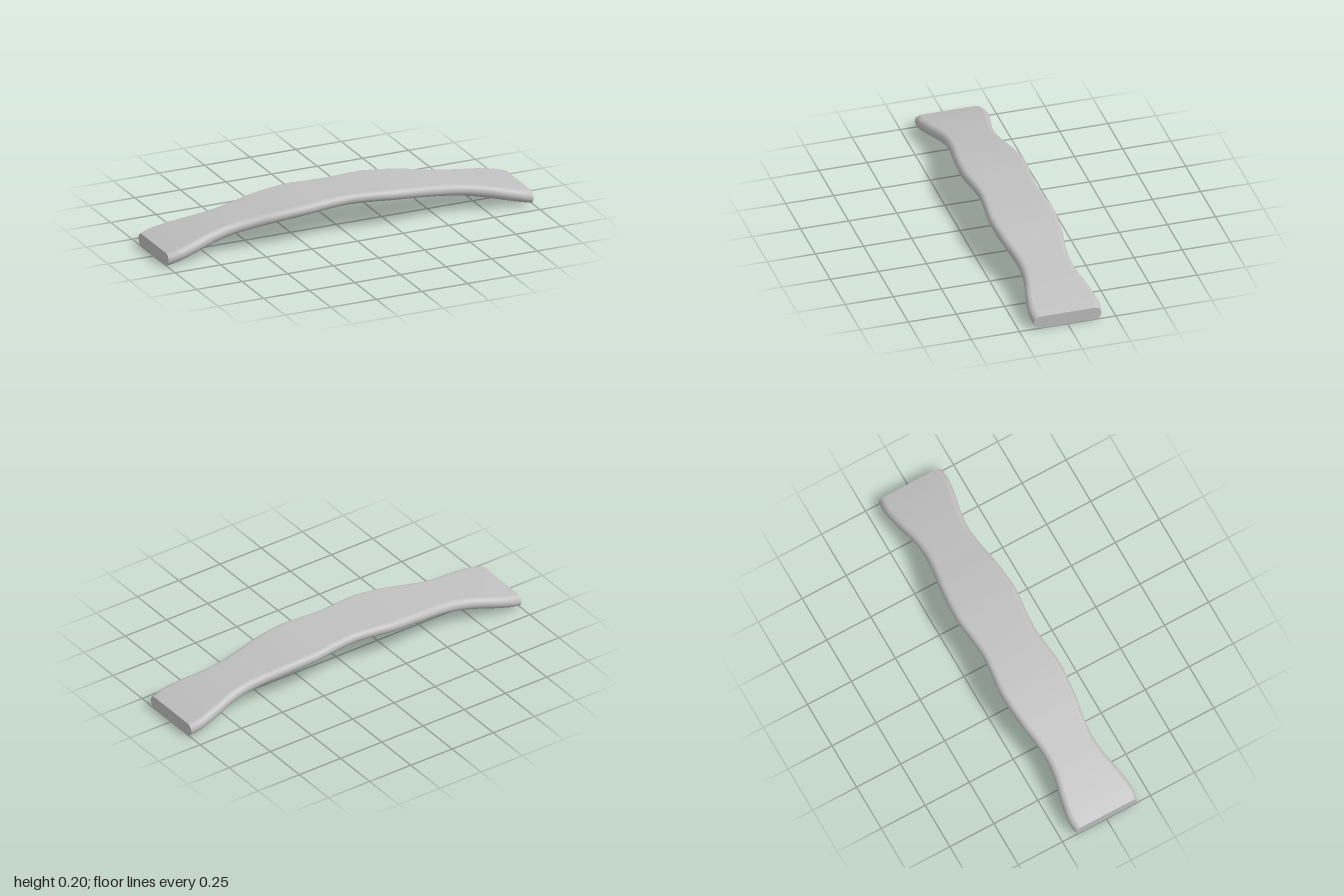
import * as THREE from 'three';

// Stations along half the length: x, top height, bottom height, half width
const STATIONS = [
  [0, 0.205, 0.15, 0.15],
  [0.1, 0.204, 0.149, 0.158],
  [0.23, 0.199, 0.142, 0.17],
  [0.4, 0.183, 0.124, 0.158],
  [0.52, 0.165, 0.105, 0.14],
  [0.62, 0.15, 0.087, 0.132],
  [0.72, 0.133, 0.068, 0.141],
  [0.84, 0.108, 0.041, 0.168],
  [0.94, 0.084, 0.016, 0.182],
  [1, 0.067, 0, 0.175],
];
const LENGTH_STEPS = 96;
const ARC_STEPS = 12;

// Smooth curve through one column of the mirrored stations, as a function of x
function profile(column) {
  const mirrored = [...STATIONS.slice(1).reverse().map((s) => [-s[0], ...s.slice(1)]), ...STATIONS];
  const slope = mirrored.map((s, i) => {
    const a = mirrored[Math.max(i - 1, 0)];
    const b = mirrored[Math.min(i + 1, mirrored.length - 1)];
    return (b[column] - a[column]) / (b[0] - a[0]);
  });
  return (x) => {
    let i = 0;
    while (i < mirrored.length - 2 && x > mirrored[i + 1][0]) i++;
    const h = mirrored[i + 1][0] - mirrored[i][0];
    const t = (x - mirrored[i][0]) / h;
    const t2 = t * t, t3 = t2 * t;
    return (2 * t3 - 3 * t2 + 1) * mirrored[i][column] + (t3 - 2 * t2 + t) * h * slope[i]
      + (3 * t2 - 2 * t3) * mirrored[i + 1][column] + (t3 - t2) * h * slope[i + 1];
  };
}

const topAt = profile(1), bottomAt = profile(2), widthAt = profile(3);

// Flat section with fully rounded sides
function section(x) {
  const top = topAt(x), bottom = bottomAt(x);
  const r = (top - bottom) / 2, mid = (top + bottom) / 2;
  const points = [];
  for (const side of [1, -1]) {
    for (let k = 0; k <= ARC_STEPS; k++) {
      const a = -Math.PI / 2 + (k / ARC_STEPS) * Math.PI;
      points.push([x, mid + side * r * Math.sin(a), side * (widthAt(x) - r + r * Math.cos(a))]);
    }
  }
  return points;
}

function makeGeometry(positions, index) {
  const geometry = new THREE.BufferGeometry();
  geometry.setAttribute('position', new THREE.Float32BufferAttribute(positions.flat(), 3));
  geometry.setIndex(index);
  geometry.computeVertexNormals();
  return geometry;
}

// Skin lofted through the sections
function skinGeometry() {
  const positions = [], index = [];
  const n = 2 * (ARC_STEPS + 1);
  for (let i = 0; i <= LENGTH_STEPS; i++) {
    positions.push(...section(-1 + (2 * i) / LENGTH_STEPS));
    if (i === LENGTH_STEPS) break;
    for (let j = 0; j < n; j++) {
      const a = i * n + j, b = i * n + ((j + 1) % n);
      index.push(a, a + n, b, b, a + n, b + n);
    }
  }
  return makeGeometry(positions, index);
}

// Flat end face, fanned from its centre
function endGeometry(x) {
  const ring = section(x);
  const index = [];
  for (let j = 0; j < ring.length; j++) {
    const a = j + 1, b = ((j + 1) % ring.length) + 1;
    index.push(0, ...(x > 0 ? [b, a] : [a, b]));
  }
  return makeGeometry([[x, (topAt(x) + bottomAt(x)) / 2, 0], ...ring], index);
}

export function createModel() {
  const group = new THREE.Group();
  group.name = 'curvedSlat';
  const grey = new THREE.MeshStandardMaterial({ color: 0xc0c0c0 });
  grey.name = 'grey';

  const add = (name, geometry) => {
    const mesh = new THREE.Mesh(geometry, grey);
    mesh.name = name;
    group.add(mesh);
  };
  add('slatBody', skinGeometry());
  add('leftEnd', endGeometry(1));
  add('rightEnd', endGeometry(-1));
  return group;
}
